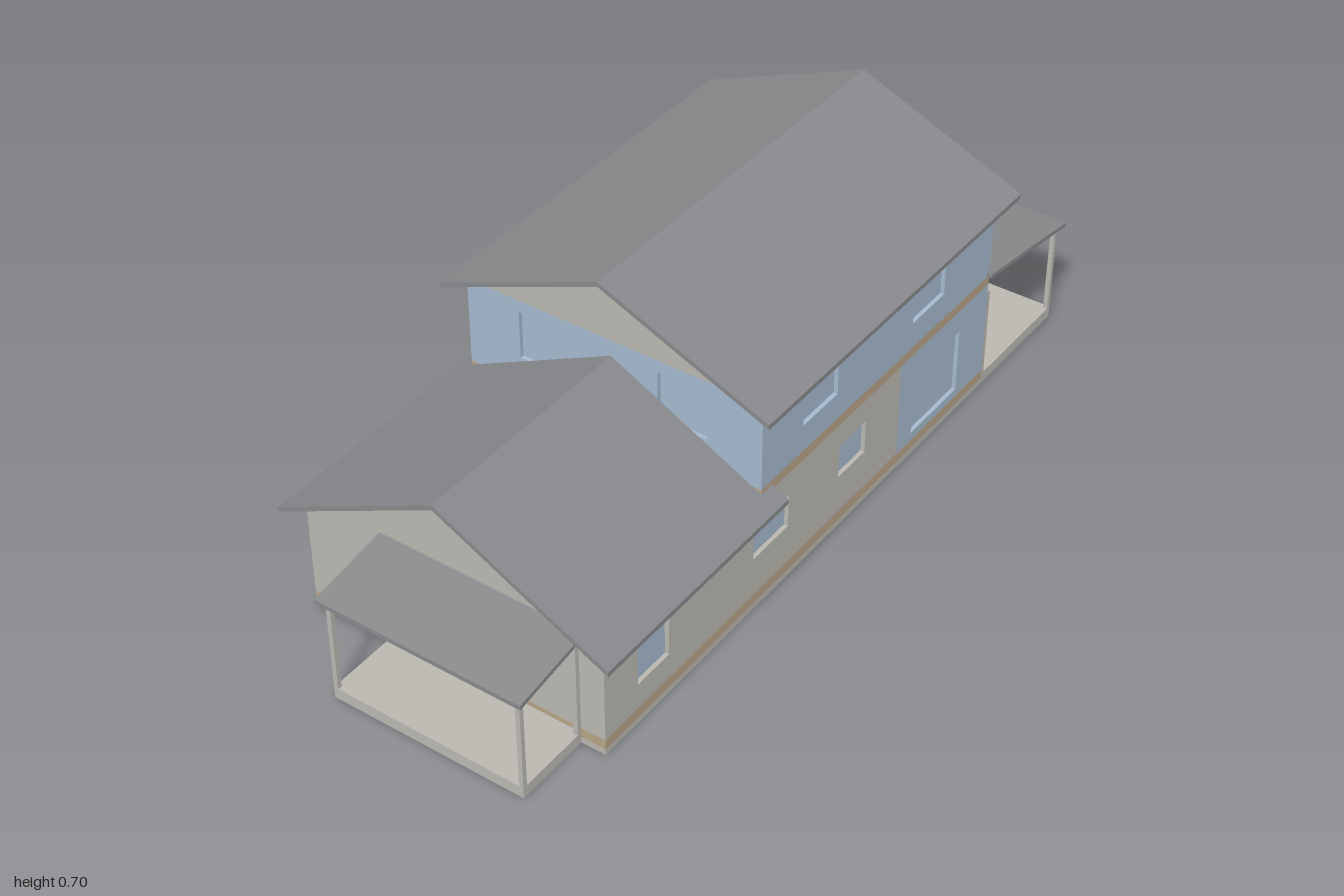
import * as THREE from 'three';

const mat = (name, color) => {
  const m = new THREE.MeshStandardMaterial({ color });
  m.name = name;
  return m;
};

export function createModel() {
  const house = new THREE.Group();
  house.name = 'house';
  const blue = mat('blue cladding and glass', 0xa5b8ce);
  const beige = mat('beige render', 0xb9b7b0);
  const tan = mat('tan trim', 0xb7a387);
  const grey = mat('grey roofing', 0x88898c);

  const T = 0.01;                       // wall skin and window recess
  const X0 = -0.8, XM = -0.26, XB = 0.285, X1 = 0.66, Z = 0.377;
  const sill = 0.04, bandLow = 0.285, bandTop = 0.31, eave = 0.53;

  const add = (name, geo, material) => {
    const m = new THREE.Mesh(geo, material);
    m.name = name;
    house.add(m);
    return m;
  };
  const box = (name, material, x0, x1, y0, y1, z0, z1) => {
    const m = add(name, new THREE.BoxGeometry(x1 - x0, y1 - y0, z1 - z0), material);
    m.position.set((x0 + x1) / 2, (y0 + y1) / 2, (z0 + z1) / 2);
  };
  const extrude = (points, depth, holes = []) => {
    const shape = new THREE.Shape(points.map(p => new THREE.Vector2(...p)));
    shape.holes = holes.map(h => new THREE.Path(h.map(p => new THREE.Vector2(...p))));
    return new THREE.ExtrudeGeometry(shape, { depth, bevelEnabled: false });
  };
  // profile in (z, y), stretched along x
  const alongX = (name, material, points, x0, x1) => {
    const m = add(name, extrude(points, x1 - x0), material);
    m.rotation.y = -Math.PI / 2;
    m.position.x = x1;
  };

  // wall skin on one side; a0..a1 and windows are [from, to, bottom, top] in x or z
  const sides = {
    front: { turn: 0, sign: 1 }, right: { turn: Math.PI / 2, sign: -1 },
    back: { turn: Math.PI, sign: -1 }, left: { turn: -Math.PI / 2, sign: 1 },
  };
  const wall = (name, material, side, plane, a0, a1, y0, y1, windows = []) => {
    const { turn, sign } = sides[side];
    const rect = (a, b, c, d) => {
      const [l, r] = [a * sign, b * sign].sort((p, q) => p - q);
      return [[l, c], [r, c], [r, d], [l, d]];
    };
    const geo = extrude(rect(a0, a1, y0, y1), T, windows.map(w => rect(...w)));
    geo.translate(0, 0, plane - T);
    add(name, geo, material).rotation.y = turn;
  };

  // glazed cores seen through the window openings
  box('groundFloorGlazing', blue, X0 + T, X1 - T, 0.005, bandLow, -Z + T, Z - T);
  box('upperFloorGlazing', blue, XM + T, X1 - T, bandLow, eave, -Z + T, Z - T);
  box('foundation', beige, X0, X1, 0, 0.015, -Z, Z);

  // long walls
  const longWalls = {
    front: {
      wing: [[-0.69, -0.585, 0.105, 0.225], [-0.285, -0.155, 0.14, 0.225], [0.04, 0.145, 0.14, 0.225]],
      bay: [[0.345, 0.54, 0.06, 0.225]],
      upper: [[-0.107, 0.023, 0.378, 0.498], [0.324, 0.455, 0.378, 0.498]],
    },
    back: {
      wing: [[0.125, 0.185, 0.14, 0.225], [-0.19, -0.065, 0.14, 0.225],
        [-0.37, -0.31, 0.14, 0.225], [-0.685, -0.57, 0.105, 0.225]],
      bay: [[0.4, 0.53, 0.11, 0.233]],
      upper: [[0.235, 0.365, 0.378, 0.498], [-0.145, -0.085, 0.41, 0.498]],
    },
  };
  for (const [side, w] of Object.entries(longWalls)) {
    wall(side + 'BaseBand', tan, side, Z, X0, X1, 0.015, sill);
    wall(side + 'RenderedWall', beige, side, Z, X0, XB, sill, bandLow, w.wing);
    wall(side + 'CladBay', blue, side, Z, XB, X1, sill, bandLow, w.bay);
    wall(side + 'FloorBand', tan, side, Z, XM, X1, bandLow, bandTop);
    wall(side + 'UpperWall', blue, side, Z, XM, X1, bandTop, eave, w.upper);
  }

  // end walls
  const E = Z - T;
  wall('rightBaseBand', tan, 'right', X1, -E, E, 0.015, sill);
  wall('rightLowerWall', blue, 'right', X1, -E, E, sill, bandLow,
    [[0.052, 0.27, 0.042, 0.225], [-0.27, -0.135, 0.11, 0.233]]);
  wall('rightFloorBand', tan, 'right', X1, -E, E, bandLow, bandTop);
  wall('rightUpperWall', blue, 'right', X1, -E, E, bandTop, eave,
    [[0.11, 0.242, 0.378, 0.498], [-0.12, -0.052, 0.378, 0.498], [-0.297, -0.19, 0.378, 0.498]]);
  wall('leftBaseBand', tan, 'left', -X0, -E, E, 0.015, sill);
  wall('leftLowerWall', beige, 'left', -X0, -E, E, sill, bandLow,
    [[-0.235, -0.155, 0.13, 0.225], [0.02, 0.12, 0.042, 0.225]]);
  wall('leftFloorBand', tan, 'left', -XM, -E, E, bandLow, bandTop);
  wall('leftUpperWall', blue, 'left', -XM, -E, E, bandTop, eave,
    [[0.118, 0.24, 0.378, 0.498], [-0.24, -0.118, 0.378, 0.498]]);

  // gables
  alongX('upperGable', beige, [[-Z, 0.528], [Z, 0.528], [0, 0.684]], XM, X1);
  alongX('wingGable', beige, [[-Z, bandLow], [Z, bandLow], [0, 0.473]], X0, XM);

  // pitched roofs, one slab per slope
  const slopes = (name, ridge, eaveY, x0, x1, zIn = 0) => {
    const zOut = 0.418, t = 0.012;
    const y = z => ridge + (eaveY - ridge) * z / zOut;
    for (const s of [1, -1]) {
      alongX(name, grey, [[s * zIn, y(zIn)], [s * zOut, y(zOut)],
        [s * zOut, y(zOut) - t], [s * zIn, y(zIn) - t]], x0, x1);
    }
  };
  slopes('upperRoof', 0.698, 0.524, -0.3, 0.7);
  slopes('wingRoof', 0.488, 0.278, -0.84, XM);
  slopes('wingEaveReturn', 0.488, 0.278, XM, -0.22, Z);

  // porches: slab, four posts and a lean-to roof
  const porch = (name, s, inner, outer, z0, z1, roofIn, yIn) => {
    const span = (a, b) => (a * s < b * s ? [a * s, b * s] : [b * s, a * s]);
    box(name + 'Floor', beige, ...span(inner, outer), 0, 0.028, z0, z1);
    const p = 0.011;
    for (const x of [inner, outer - p]) {
      for (const z of [z0, z1 - p]) {
        box(name + 'Post', beige, ...span(x, x + p), 0.028, 0.262, z, z + p);
      }
    }
    const geo = extrude([[roofIn * s, yIn], [s, 0.269], [s, 0.258], [roofIn * s, yIn - 0.011]], z1 - z0 + 0.028);
    add(name + 'Roof', geo, grey).position.z = z0 - 0.014;
  };
  porch('rightPorch', 1, X1, 0.985, -0.051, Z, 0.648, 0.325);
  porch('leftPorch', -1, -X0, 0.985, -0.166, 0.317, 0.795, 0.302);

  return house;
}
